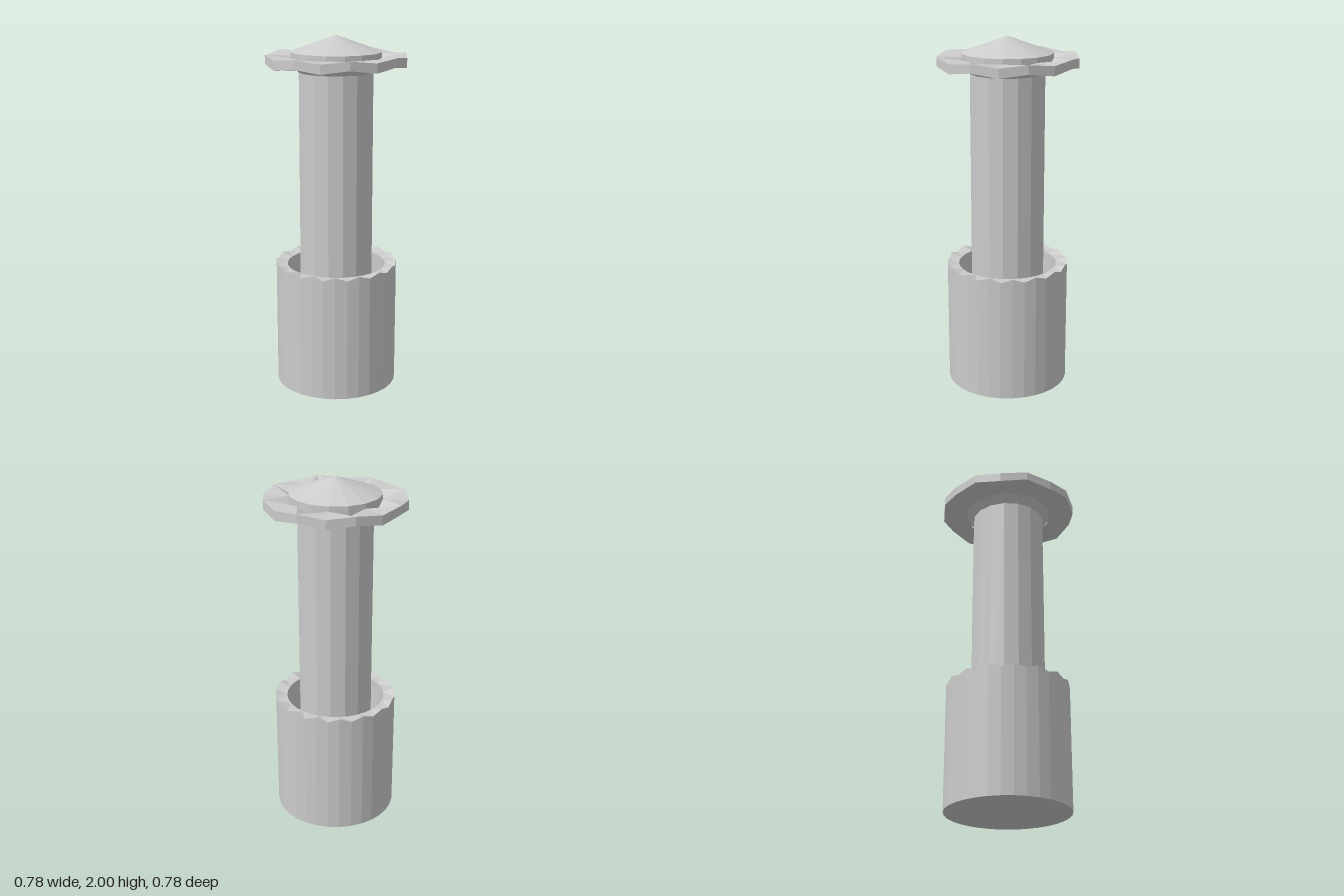
import * as THREE from 'three';

const material = new THREE.MeshStandardMaterial({ color: 0xcccccc, flatShading: true });

// Skins a round profile of [radius, even-corner height, odd-corner height] rings.
// Diagonals mirror about each corner so the waves stay symmetrical.
function wavyLoft(profile, sides) {
  const positions = [];
  const corner = ([r, even, odd], i) => {
    const a = (i / sides) * Math.PI * 2;
    return [r * Math.sin(a), i % 2 ? odd : even, r * Math.cos(a)];
  };
  for (let k = 0; k < profile.length - 1; k++) {
    const lower = profile[k], upper = profile[k + 1];
    for (let i = 0; i < sides; i++) {
      const a = corner(lower, i), b = corner(lower, i + 1);
      const c = corner(upper, i + 1), d = corner(upper, i);
      if (lower[0] === 0) positions.push(...a, ...c, ...d);
      else if (upper[0] === 0) positions.push(...a, ...b, ...c);
      else if (i % 2) positions.push(...a, ...b, ...d, ...b, ...c, ...d);
      else positions.push(...a, ...b, ...c, ...a, ...c, ...d);
    }
  }
  const geometry = new THREE.BufferGeometry();
  geometry.setAttribute('position', new THREE.Float32BufferAttribute(positions, 3));
  geometry.computeVertexNormals();
  return geometry;
}

export function createModel() {
  const group = new THREE.Group();
  const add = (name, geometry) => {
    const mesh = new THREE.Mesh(geometry, material);
    mesh.name = name;
    group.add(mesh);
    return mesh;
  };

  // Hollow base with a scalloped rim
  add('baseCup', wavyLoft([
    [0, 0, 0],
    [0.345, 0, 0],
    [0.345, 0.70, 0.72],
    [0.28, 0.70, 0.70],
    [0.28, 0.05, 0.05],
    [0, 0.05, 0.05],
  ], 32));

  // Tall pillar standing inside the cup
  add('pillar', new THREE.CylinderGeometry(0.208, 0.208, 1.76, 16, 1, true)).position.y = 0.93;

  // Flared head with a shallow conical cap
  const headProfile = [[0.208, 1.8], [0.253, 1.845], [0.253, 1.91], [0, 2]];
  add('head', new THREE.LatheGeometry(headProfile.map(([r, y]) => new THREE.Vector2(r, y)), 16));

  // Rippled brim around the head, waving opposite ways at its inner and outer edges
  add('brim', wavyLoft([
    [0.25, 1.835, 1.845],
    [0.392, 1.85, 1.83],
    [0.392, 1.898, 1.883],
    [0.25, 1.85, 1.882],
  ], 16));

  return group;
}
